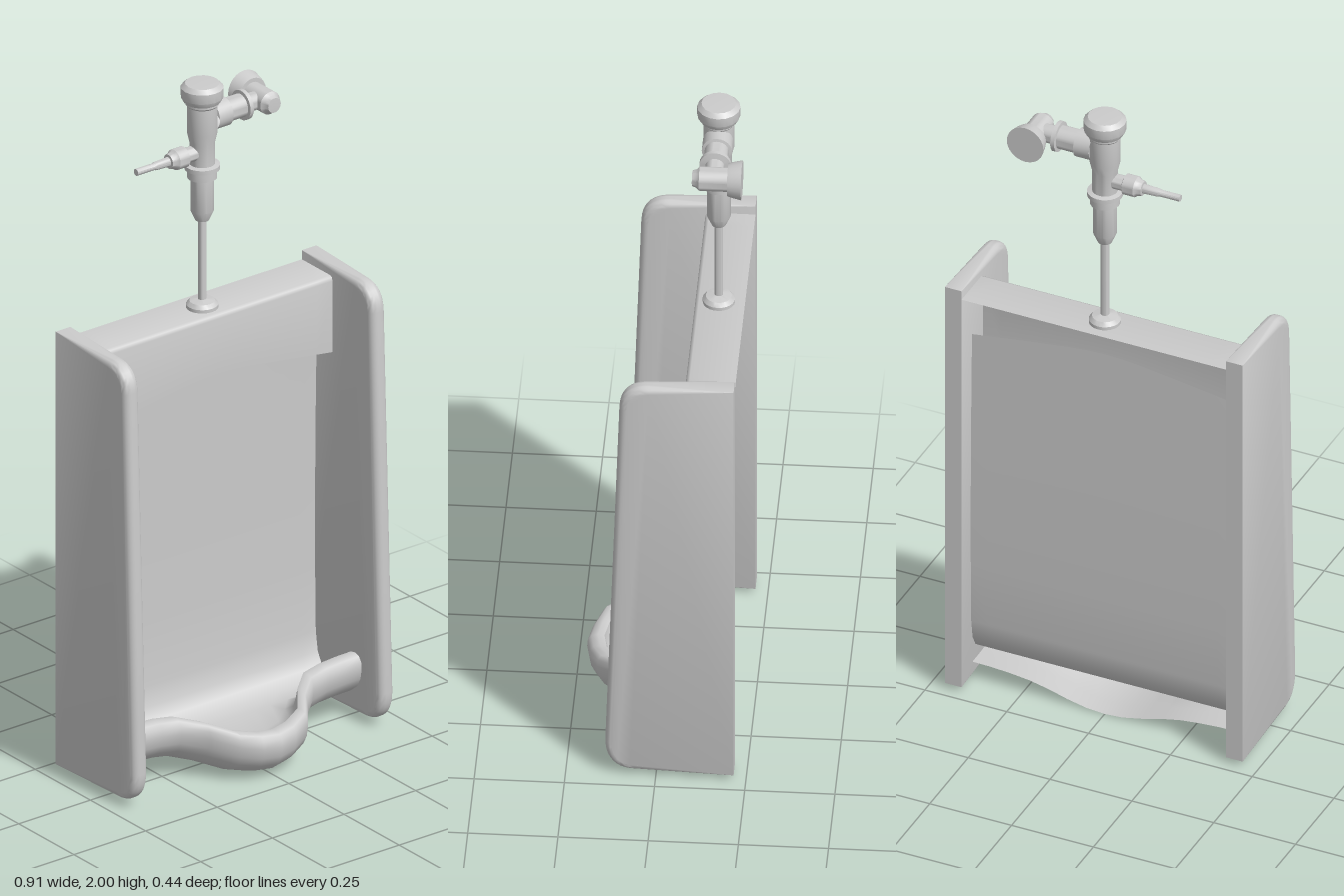
import * as THREE from 'three';
import { toCreasedNormals } from 'three/addons/utils/BufferGeometryUtils.js';

const material = new THREE.MeshStandardMaterial({ color: 0xcccccc, side: THREE.DoubleSide });
const VALVE_Z = -0.143;

// Half-width stations: x, lip front z, lip rise, hood lower edge y
const HALF = [
  [0, 0.222, 0, 1.13], [0.055, 0.212, 0.004, 1.128], [0.115, 0.187, 0.017, 1.122],
  [0.17, 0.115, 0.033, 1.114], [0.23, 0.064, 0.046, 1.106], [0.29, 0.055, 0.053, 1.097],
  [0.35, 0.055, 0.057, 1.088], [0.407, 0.055, 0.058, 1.08],
];
const STATIONS = [
  ...HALF.slice(1).reverse().map(([x, ...rest]) => [-x, ...rest]),
  ...HALF,
];

function addMesh(parent, name, geometry) {
  const mesh = new THREE.Mesh(geometry, material);
  mesh.name = name;
  parent.add(mesh);
  return mesh;
}

// Sheet swept across the width; profile(front, rise, hoodEdge) returns [z, y] points
function sweep(profile, crease) {
  const positions = [], index = [];
  let n = 0;
  STATIONS.forEach(([x, front, rise, hoodEdge], i) => {
    const points = profile(front, rise, hoodEdge);
    n = points.length;
    points.forEach(([z, y]) => positions.push(x, y, z));
    if (i === 0) return;
    for (let j = 0; j < n - 1; j++) {
      const a = (i - 1) * n + j, b = a + n;
      index.push(a, a + 1, b, b, a + 1, b + 1);
    }
  });
  const geometry = new THREE.BufferGeometry();
  geometry.setAttribute('position', new THREE.Float32BufferAttribute(positions, 3));
  geometry.setIndex(index);
  return toCreasedNormals(geometry, crease);
}

// Turned part: [radius, height] points along the y, x, -x or -z axis
function turned(parent, name, points, at, axis = 'y', sides = 24) {
  const lathe = new THREE.LatheGeometry(points.map(([r, h]) => new THREE.Vector2(r, h)), sides);
  if (axis === 'x') lathe.rotateZ(-Math.PI / 2);
  if (axis === '-x') lathe.rotateZ(Math.PI / 2);
  if (axis === '-z') lathe.rotateX(-Math.PI / 2);
  const mesh = addMesh(parent, name, toCreasedNormals(lathe, 0.6));
  mesh.position.set(...at);
  return mesh;
}

// Side panel: rounded front edge whose rounding fades to square corners at the back
function sidePanelGeometry() {
  const bevel = 0.02, back = -0.216, width = 0.051, bottom = 0.016, top = 1.34;
  const s = new THREE.Shape();
  s.moveTo(back, bottom + bevel);
  s.lineTo(0.06, bottom + bevel);
  s.quadraticCurveTo(0.121, bottom + bevel, 0.121, 0.11);
  s.lineTo(0.082, 1.26);
  s.quadraticCurveTo(0.079, top - bevel, 0.02, top - bevel);
  s.lineTo(back, top - bevel);
  s.closePath();
  const g = new THREE.ExtrudeGeometry(s, {
    depth: width - 2 * bevel, bevelEnabled: true, bevelSize: bevel,
    bevelThickness: bevel, bevelSegments: 5, curveSegments: 10,
  });
  g.translate(0, 0, -width / 2 + bevel);
  g.rotateY(-Math.PI / 2);
  const p = g.attributes.position;
  for (let i = 0; i < p.count; i++) {
    if (p.getZ(i) > back + 0.001) continue;
    p.setXYZ(i, Math.sign(p.getX(i)) * width / 2, p.getY(i) > 0.5 ? top : bottom, back);
  }
  return toCreasedNormals(g, 0.7);
}

function buildBasin() {
  const basin = new THREE.Group();
  basin.name = 'basin';

  for (const [side, name] of [[1, 'leftSidePanel'], [-1, 'rightSidePanel']]) {
    addMesh(basin, name, sidePanelGeometry()).position.x = side * 0.4295;
  }

  // Top shelf and arched front of the hood, open behind
  addMesh(basin, 'hood', sweep((front, rise, edge) => [
    [-0.216, 1.312], [-0.088, 1.312], [-0.08, 1.308], [-0.077, 1.298], [-0.077, edge],
  ], 0.9));

  // Sloping hood underside, back wall and floor running up to the lip
  addMesh(basin, 'bowl', sweep((front, rise, edge) => [
    [-0.077, edge], [-0.115, edge + 0.047], [-0.148, edge + 0.075],
    [-0.153, 0.9], [-0.156, 0.65], [-0.156, 0.4], [-0.153, 0.2],
    [-0.144, 0.14], [-0.125, 0.105], [-0.095, 0.085], [-0.055, 0.076],
    [-0.025 + (front - 0.055) * 0.6, 0.078 + rise * 0.3],
    [front - 0.066, 0.092 + rise * 0.6], [front - 0.054, 0.115 + rise * 0.9],
    [front - 0.048, 0.138 + rise],
  ], 1.2));

  // Rolled lip and underside
  addMesh(basin, 'frontLip', sweep((front, rise) => [
    [front - 0.048, 0.138 + rise], [front - 0.03, 0.141 + rise], [front - 0.012, 0.136 + rise],
    [front - 0.002, 0.122 + rise], [front, 0.1 + rise], [front - 0.005, 0.07 + rise],
    [front - 0.02, 0.042 + rise], [front - 0.048, 0.019 + rise], [front - 0.085, 0.005 + rise],
    [-0.085, 0.001 + rise], [-0.145, rise],
  ], 1.0));
  return basin;
}

function buildFlushValve() {
  const valve = new THREE.Group();
  valve.name = 'flushValve';
  const centre = [0, 0, VALVE_Z];

  turned(valve, 'pipeFlange', [[0.045, 1.31], [0.045, 1.322], [0.036, 1.333], [0.012, 1.338]], centre);
  turned(valve, 'supplyPipe', [[0.012, 1.3], [0.012, 1.6]], centre);
  turned(valve, 'pipeSleeve', [[0.012, 1.578], [0.02, 1.58], [0.033, 1.61], [0.033, 1.715]], centre);
  turned(valve, 'couplingRings', [
    [0.033, 1.71], [0.042, 1.71], [0.042, 1.735], [0.05, 1.737], [0.05, 1.75], [0.036, 1.753],
  ], centre);
  turned(valve, 'valveBody', [
    [0.036, 1.75], [0.036, 1.82], [0.043, 1.85], [0.043, 1.93], [0.047, 1.935], [0.047, 1.95],
  ], centre);
  turned(valve, 'valveCap', [
    [0.045, 1.94], [0.052, 1.943], [0.06, 1.958], [0.06, 1.986], [0.048, 1.998], [0, 2],
  ], centre, 'y', 16);

  // Side outlet towards the wall
  turned(valve, 'outletArm', [
    [0.042, 0.03], [0.042, 0.078], [0.034, 0.08], [0.034, 0.134], [0.044, 0.135],
    [0.044, 0.147], [0.027, 0.15], [0.025, 0.21],
  ], [0, 1.89, VALVE_Z], 'x');
  turned(valve, 'outletElbow', [
    [0, 0.083], [0.022, 0.084], [0.026, 0.096], [0.034, 0.104], [0.034, 0.19],
  ], [0.207, 1.89, 0], '-z');
  turned(valve, 'wallFlange', [
    [0.033, 0.183], [0.046, 0.183], [0.05, 0.195], [0.056, 0.222], [0, 0.222],
  ], [0.207, 1.89, 0], '-z');

  // Handle
  turned(valve, 'handleSocket', [
    [0.022, 0.025], [0.022, 0.06], [0.03, 0.064], [0.03, 0.098], [0.024, 0.105],
    [0.021, 0.118], [0, 0.12],
  ], [0, 1.79, VALVE_Z], '-x');
  turned(valve, 'handleLever', [
    [0.014, 0.115], [0.012, 0.165], [0.01, 0.17], [0.01, 0.231], [0, 0.231],
  ], [0, 1.79, VALVE_Z], '-x', 16);
  return valve;
}

export function createModel() {
  const model = new THREE.Group();
  model.name = 'wallUrinal';
  model.add(buildBasin(), buildFlushValve());
  return model;
}
